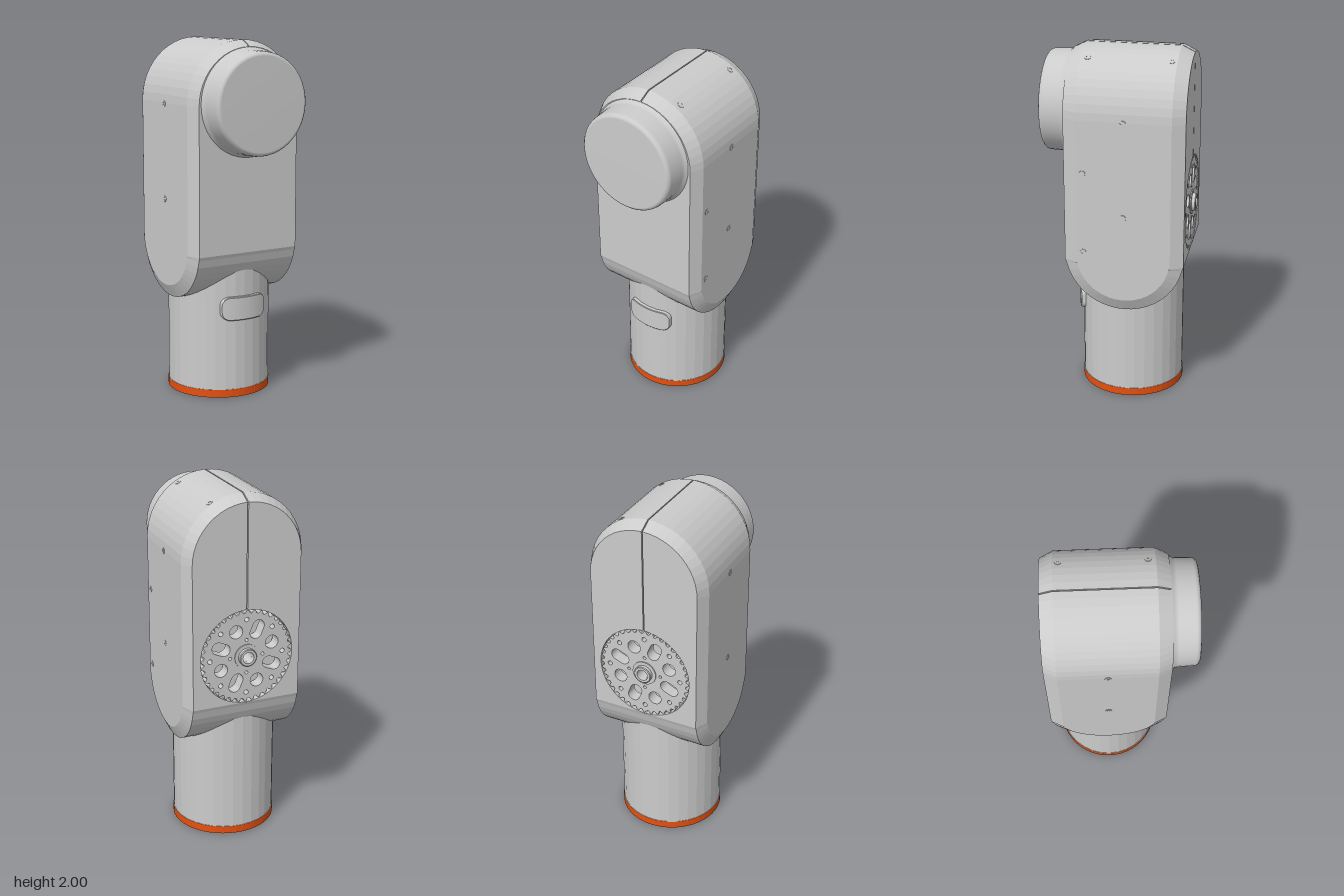
import * as THREE from 'three';

const material = (color = 0xcccccc, flatShading = true) =>
  new THREE.MeshStandardMaterial({ color, flatShading, side: THREE.DoubleSide });
const grey = material();
const smooth = material(0xcccccc, false);
const orange = material(0xe6500f);

const CZ = -0.06;            // depth of the body and neck axis
const SPLIT = 0.84;          // height where the rounded foot begins
const HUB_Y = 1.11, WHEEL_R = 0.268;

function mesh(parent, name, geometry, mat = grey) {
  const m = new THREE.Mesh(geometry, mat);
  m.name = name;
  parent.add(m);
  return m;
}

// Skin a list of rings; cap fans run from the given centre points
function loft(rings, { closed = false, start, end } = {}) {
  const n = rings[0].length, pos = rings.flat(2), idx = [];
  for (let r = 0; r < rings.length - 1; r++)
    for (let i = 0; i < (closed ? n : n - 1); i++) {
      const a = r * n + i, b = r * n + (i + 1) % n;
      idx.push(a, b, b + n, a, b + n, a + n);
    }
  const fan = (centre, base, flip) => {
    const c = pos.length / 3;
    pos.push(...centre);
    for (let i = 0; i < (closed ? n : n - 1); i++) {
      const a = base + i, b = base + (i + 1) % n;
      idx.push(c, flip ? b : a, flip ? a : b);
    }
  };
  if (start) fan(start, 0, true);
  if (end) fan(end, (rings.length - 1) * n, false);
  const g = new THREE.BufferGeometry();
  g.setAttribute('position', new THREE.Float32BufferAttribute(pos, 3));
  g.setIndex(idx);
  const flat = g.toNonIndexed();
  flat.computeVertexNormals();
  return flat;
}

function circleHole(x, y, r) {
  return new THREE.Path().absarc(x, y, r, 0, Math.PI * 2, true);
}

// Straight slot of half length h, pointing along angle a
function slotHole(x, y, r, h, a) {
  const p = new THREE.Path(), c = Math.cos(a) * h, s = Math.sin(a) * h;
  p.absarc(x + c, y + s, r, a - Math.PI / 2, a + Math.PI / 2, false);
  p.absarc(x - c, y - s, r, a + Math.PI / 2, a + Math.PI * 1.5, false);
  p.closePath();
  return p;
}

function ringOfHoles(shape, count, radius, r, phase = 0) {
  for (let i = 0; i < count; i++) {
    const a = phase + i * Math.PI * 2 / count;
    shape.holes.push(circleHole(Math.cos(a) * radius, Math.sin(a) * radius, r));
  }
}

const extrude = (shape, depth, curveSegments = 10) =>
  new THREE.ExtrudeGeometry(shape, { depth, bevelEnabled: false, curveSegments });

// Arched upper outline with a narrow seam groove at the crown
function archRing(r, z) {
  const cy = 1.655, pts = [[r, SPLIT, z]], N = 24;
  for (let i = 0; i <= N; i++) {
    const a = i / N * Math.PI;
    if (i === N / 2)
      for (const [x, d] of [[0.003, 0], [0.003, 0.012], [-0.003, 0.012], [-0.003, 0]]) pts.push([x, cy + r - d, z]);
    else pts.push([Math.cos(a) * r, cy + Math.sin(a) * r, z]);
  }
  pts.push([-r, SPLIT, z]);
  return pts;
}

// Rounded foot outline, seen from the side
function footRing(r, x) {
  const pts = [[x, SPLIT, CZ + r]], N = 20, first = 0.21;
  for (let i = 0; i <= N; i++) {
    const a = first + i / N * (Math.PI - 2 * first);
    pts.push([x, 0.89 - Math.sin(a) * r, CZ + Math.cos(a) * r]);
  }
  pts.push([x, SPLIT, CZ - r]);
  return pts;
}

// Half of the back plate, with a bite for the wheel recess
function backPlate(side) {
  const e = 0.003, pts = [new THREE.Vector2(e, HUB_Y + WHEEL_R + 0.002)];
  for (let i = 0; i <= 12; i++) {
    const a = Math.PI / 2 * (1 - i / 12);
    pts.push(new THREE.Vector2(Math.max(e, 0.31 * Math.cos(a)), 1.655 + 0.31 * Math.sin(a)));
  }
  pts.push(new THREE.Vector2(0.31, SPLIT), new THREE.Vector2(e, SPLIT));
  for (let i = 0; i < 24; i++) {
    const a = -Math.PI / 2 + i / 24 * Math.PI;
    pts.push(new THREE.Vector2(Math.max(e, Math.cos(a) * WHEEL_R), HUB_Y + Math.sin(a) * WHEEL_R));
  }
  pts.forEach(p => { p.x *= side; });
  return extrude(new THREE.Shape(pts), 0.1).translate(0, 0, -0.39);
}

function addBody(root) {
  const body = new THREE.Group();
  body.name = 'body';
  root.add(body);
  mesh(body, 'upperShell', loft(
    [archRing(0.31, -0.39), archRing(0.345, -0.32), archRing(0.345, 0.2), archRing(0.31, 0.27)],
    { end: [0, SPLIT, 0.27] }));
  mesh(body, 'roundedFoot', loft(
    [footRing(0.26, -0.345), footRing(0.33, -0.31), footRing(0.33, 0.31), footRing(0.26, 0.345)],
    { start: [-0.345, SPLIT, CZ], end: [0.345, SPLIT, CZ] }));
  mesh(body, 'leftBackPlate', backPlate(1));
  mesh(body, 'rightBackPlate', backPlate(-1));
  mesh(body, 'recessFloor', new THREE.BoxGeometry(0.6, 0.62, 0.01).translate(0, HUB_Y + 0.02, -0.285));
}

function addKnob(root) {
  const profile = [[0.3, 0.265], [0.296, 0.275], [0.287, 0.285], [0.284, 0.3], [0.28, 0.39],
    [0.277, 0.402], [0.268, 0.411], [0.257, 0.415], [0, 0.415]].map(p => new THREE.Vector2(...p));
  const g = new THREE.LatheGeometry(profile, 48).rotateX(Math.PI / 2);
  mesh(root, 'frontKnob', g, smooth).position.y = 1.665;
}

function addWheel(root) {
  const wheel = new THREE.Group();
  wheel.name = 'driveWheel';
  wheel.position.y = HUB_Y;
  root.add(wheel);
  // Toothed disc with slots and bolt holes
  const pts = [], teeth = 40;
  for (let i = 0; i < teeth * 4; i++) {
    const a = i / (teeth * 4) * Math.PI * 2, r = i % 4 < 2 ? 0.264 : 0.248;
    pts.push(new THREE.Vector2(Math.cos(a) * r, Math.sin(a) * r));
  }
  const disc = new THREE.Shape(pts);
  for (let i = 0; i < 8; i++) {
    const a = i * Math.PI / 4 + Math.PI / 8, x = Math.cos(a) * 0.16, y = Math.sin(a) * 0.16;
    disc.holes.push(i % 2 ? circleHole(x, y, 0.038) : slotHole(x, y, 0.034, 0.02, a));
  }
  ringOfHoles(disc, 8, 0.212, 0.013);
  ringOfHoles(disc, 4, 0.095, 0.009);
  disc.holes.push(circleHole(0, 0, 0.032));
  mesh(wheel, 'toothedDisc', extrude(disc, 0.07).translate(0, 0, -0.387));
  // Hollow hub with a low collar
  const hub = [[0.032, 0.3], [0.032, 0.415], [0.046, 0.415], [0.05, 0.411], [0.05, 0.393],
    [0.07, 0.393], [0.07, 0.38]].map(p => new THREE.Vector2(...p));
  mesh(wheel, 'hub', new THREE.LatheGeometry(hub, 24).rotateX(-Math.PI / 2));
}

function addNeck(root) {
  const neck = new THREE.Group();
  neck.name = 'neck';
  neck.position.z = CZ;
  root.add(neck);
  mesh(neck, 'neckTube', new THREE.CylinderGeometry(0.29, 0.29, 0.755, 32, 1, true).translate(0, 0.4225, 0));
  mesh(neck, 'baseRing', new THREE.CylinderGeometry(0.293, 0.293, 0.044, 48, 1, true).translate(0, 0.023, 0), orange);
  // Underside flange with bolt holes around a recessed hub
  const flange = new THREE.Shape().absarc(0, 0, 0.292, 0, Math.PI * 2);
  flange.holes.push(circleHole(0, 0, 0.16));
  ringOfHoles(flange, 8, 0.232, 0.014, Math.PI / 8);
  mesh(neck, 'baseFlange', extrude(flange, 0.045, 24).rotateX(Math.PI / 2).translate(0, 0.045, 0));
  const hub = new THREE.Shape().absarc(0, 0, 0.165, 0, Math.PI * 2);
  hub.holes.push(circleHole(0, 0, 0.03));
  ringOfHoles(hub, 6, 0.105, 0.035);
  ringOfHoles(hub, 6, 0.062, 0.009, Math.PI / 6);
  mesh(neck, 'baseHub', extrude(hub, 0.05).rotateX(Math.PI / 2).translate(0, 0.075, 0));
  mesh(neck, 'baseHubFloor', new THREE.CylinderGeometry(0.17, 0.17, 0.01, 24).translate(0, 0.11, 0));

  // Curved button with rounded corners, wrapped around the tube
  const rings = [], N = 28, half = 0.138, corner = 0.045;
  for (let i = 0; i <= N; i++) {
    const x = -half * Math.cos(i / N * Math.PI);
    const over = Math.max(0, Math.abs(x) - (half - corner));
    const h = 0.067 - corner + Math.sqrt(Math.max(0, corner * corner - over * over));
    const z = r => Math.sqrt(r * r - x * x);
    rings.push([[x, 0.517 - h, z(0.28)], [x, 0.517 - h, z(0.307)], [x, 0.517 - h + 0.004, z(0.31)],
      [x, 0.517 + h - 0.004, z(0.31)], [x, 0.517 + h, z(0.307)], [x, 0.517 + h, z(0.28)]]);
  }
  const c = [0, 0.517, 0.25];
  mesh(neck, 'button', loft(rings, {
    closed: true, start: [-half, c[1], c[2]], end: [half, c[1], c[2]] }));
}

// Small socket screws, axis turned to the surface normal in the x-y plane
function addScrews(root) {
  const profile = [[0, -0.006], [0.009, -0.006], [0.009, 0.002], [0.017, 0.002], [0.019, -0.004]]
    .map(p => new THREE.Vector2(...p));
  const geometry = new THREE.LatheGeometry(profile, 12);
  const place = (x, y, z, angle) => {
    const m = mesh(root, 'screw', geometry);
    m.position.set(x, y, z);
    m.rotation.z = angle - Math.PI / 2;
  };
  for (const [y, z] of [[1.65, -0.06], [1.36, 0.16], [1.12, -0.06], [0.905, 0.16]]) place(0.345, y, z, 0);
  for (const y of [1.65, 1.12]) place(-0.345, y, -0.06, Math.PI);
  for (const z of [0.16, -0.29]) place(0.172, 1.953, z, Math.PI / 3);
}

export function createModel() {
  const root = new THREE.Group();
  root.name = 'roboticJoint';
  addBody(root);
  addKnob(root);
  addWheel(root);
  addNeck(root);
  addScrews(root);
  return root;
}
